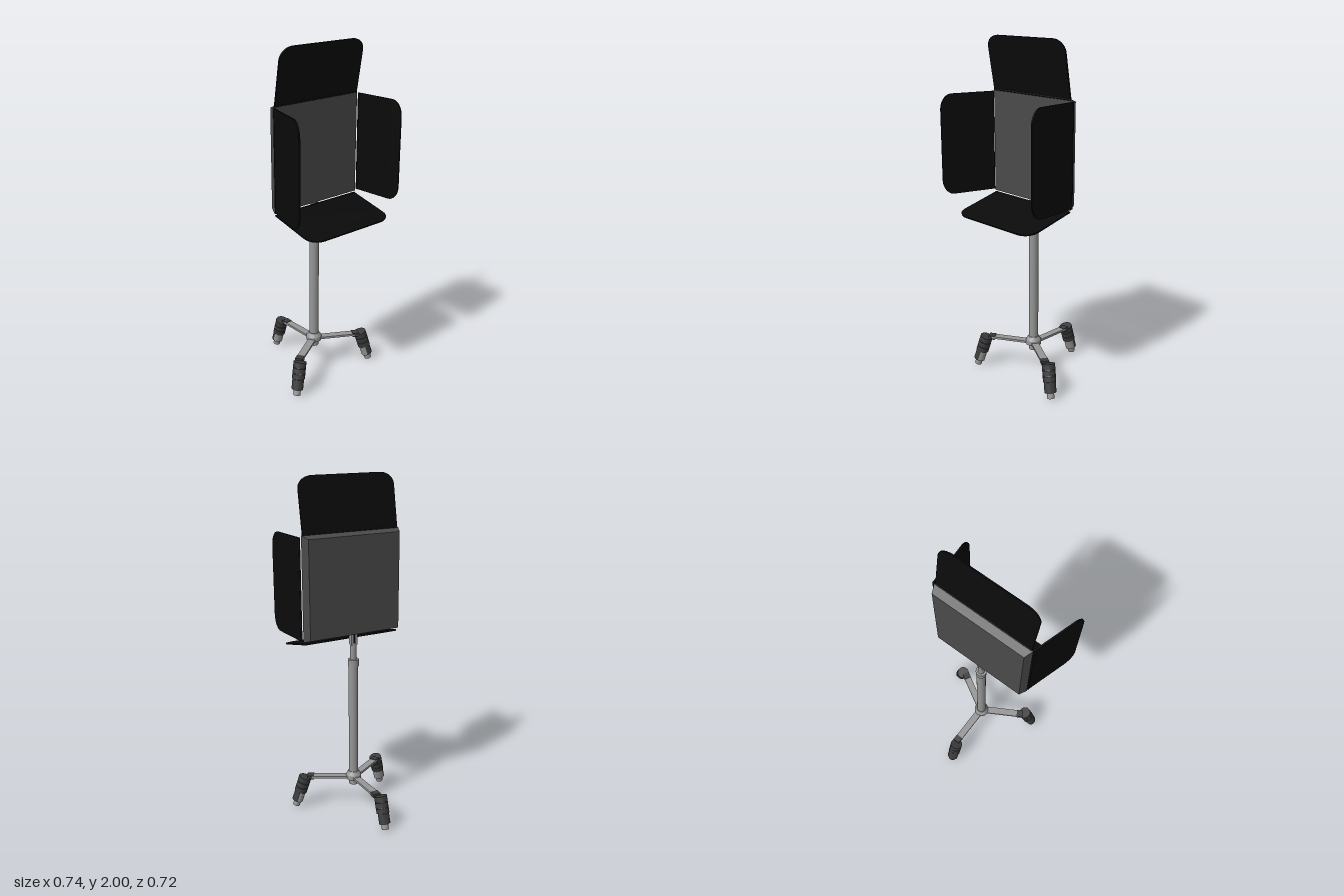
import * as THREE from 'three';

const mat = (name, color) => {
  const m = new THREE.MeshStandardMaterial({ color });
  m.name = name;
  return m;
};

export function createModel() {
  const black = mat('matte black', 0x0a0a0a);
  const housing = mat('housing grey', 0x4a4a4a);
  const rubber = mat('dark grip grey', 0x3c3c3c);
  const metal = mat('metal grey', 0x969696);

  const root = new THREE.Group();
  root.name = 'studioLight';
  const CX = 0.03, CZ = 0.016;

  const add = (parent, name, geo, material, x = 0, y = 0, z = 0) => {
    const m = new THREE.Mesh(geo, material);
    m.name = name;
    m.position.set(x, y, z);
    parent.add(m);
    return m;
  };
  // Vertical cylinder between two heights
  const post = (parent, name, rTop, rBottom, y0, y1, material, sides = 24) =>
    add(parent, name, new THREE.CylinderGeometry(rTop, rBottom, y1 - y0, sides), material, 0, (y0 + y1) / 2, 0);

  // Stand: telescopic pole with collar, hub and forked top
  const stand = new THREE.Group();
  stand.name = 'stand';
  stand.position.set(CX, 0, CZ);
  root.add(stand);
  post(stand, 'poleFoot', 0.028, 0.028, 0.15, 0.19, metal);
  post(stand, 'hub', 0.046, 0.046, 0.185, 0.212, metal);
  post(stand, 'hubCone', 0.032, 0.046, 0.212, 0.235, metal);
  post(stand, 'lowerPole', 0.028, 0.028, 0.19, 0.92, metal);
  post(stand, 'poleCollar', 0.032, 0.032, 0.908, 0.95, metal);
  post(stand, 'upperPole', 0.019, 0.019, 0.94, 1.05, metal);
  for (const s of [-1, 1])
    add(stand, 'forkProng', new THREE.BoxGeometry(0.012, 0.07, 0.032), metal, s * 0.013, 1.075, 0);
  add(stand, 'forkTongue', new THREE.BoxGeometry(0.014, 0.06, 0.022), black, 0, 1.075, 0);

  // Three legs: flat arm, hinge and tilted foot (local +z points outward)
  for (const angle of [Math.PI, Math.PI / 3, -Math.PI / 3]) {
    const leg = new THREE.Group();
    leg.name = 'leg';
    leg.rotation.y = angle;
    stand.add(leg);
    add(leg, 'legArm', new THREE.BoxGeometry(0.044, 0.013, 0.235), metal, 0, 0.195, 0.14);
    add(leg, 'legHinge', new THREE.BoxGeometry(0.044, 0.024, 0.04), rubber, 0, 0.193, 0.262);

    const foot = new THREE.Group();
    foot.name = 'foot';
    foot.position.set(0.013, 0.2, 0.294);
    foot.rotation.x = -0.3;
    leg.add(foot);
    // Stacked clamp rings over a thinner core
    post(foot, 'footCore', 0.031, 0.031, -0.17, -0.012, metal, 20);
    for (const [y0, y1] of [[-0.036, -0.004], [-0.07, -0.04], [-0.104, -0.074]])
      post(foot, 'clampRing', 0.038, 0.038, y0, y1, rubber, 20);
    // Outer half shell around the lower core
    const shell = new THREE.CylinderGeometry(0.035, 0.035, 0.06, 16, 1, false, -Math.PI / 2, Math.PI);
    add(foot, 'footShell', shell, rubber, 0, -0.136, 0);
    post(foot, 'footTip', 0.021, 0.021, -0.203, -0.165, metal, 20);
  }

  // Lamp head: box narrowing towards the back
  const headGeo = new THREE.BoxGeometry(0.615, 0.6, 0.049);
  const p = headGeo.attributes.position;
  for (let i = 0; i < p.count; i++)
    if (p.getZ(i) < 0) p.setXY(i, p.getX(i) * 0.935, p.getY(i) * 0.945);
  headGeo.computeVertexNormals();
  add(root, 'lampHead', headGeo, housing, CX, 1.39, 0.011);

  // Barn doors: thin plates with rounded outer corners, running from hinge to tip
  const X = new THREE.Vector3(1, 0, 0), Y = new THREE.Vector3(0, 1, 0);
  const door = (name, width, along, hinge, tip) => {
    const a = new THREE.Vector3(...hinge), b = new THREE.Vector3(...tip);
    const out = b.clone().sub(a), h = out.length(), w = width / 2;
    out.normalize();
    const s = new THREE.Shape();
    s.moveTo(-w, 0);
    s.lineTo(w, 0);
    s.lineTo(w, h - 0.07);
    s.bezierCurveTo(w, h - 0.03, w - 0.04, h, w - 0.09, h);
    s.lineTo(-w + 0.09, h);
    s.bezierCurveTo(-w + 0.04, h, -w, h - 0.03, -w, h - 0.07);
    const geo = new THREE.ExtrudeGeometry(s, { depth: 0.008, bevelEnabled: false, curveSegments: 10 });
    geo.translate(0, 0, -0.004);
    const g = new THREE.Group();
    g.name = name;
    g.position.copy(a);
    g.quaternion.setFromRotationMatrix(
      new THREE.Matrix4().makeBasis(along, out, along.clone().cross(out)));
    root.add(g);
    add(g, 'doorPanel', geo, black);
    const rod = add(g, 'doorHinge', new THREE.CylinderGeometry(0.006, 0.006, width, 10), black);
    rod.rotation.z = Math.PI / 2;
  };
  door('topDoor', 0.6, X, [CX, 1.69, 0.037], [CX, 1.999, 0.09]);
  door('bottomDoor', 0.604, X, [CX, 1.078, 0.037], [CX, 1.002, 0.343]);
  door('rightDoor', 0.58, Y, [-0.277, 1.39, 0.046], [-0.37, 1.39, 0.355]);
  door('leftDoor', 0.58, Y, [0.348, 1.39, 0.04], [0.365, 1.39, 0.355]);

  return root;
}
